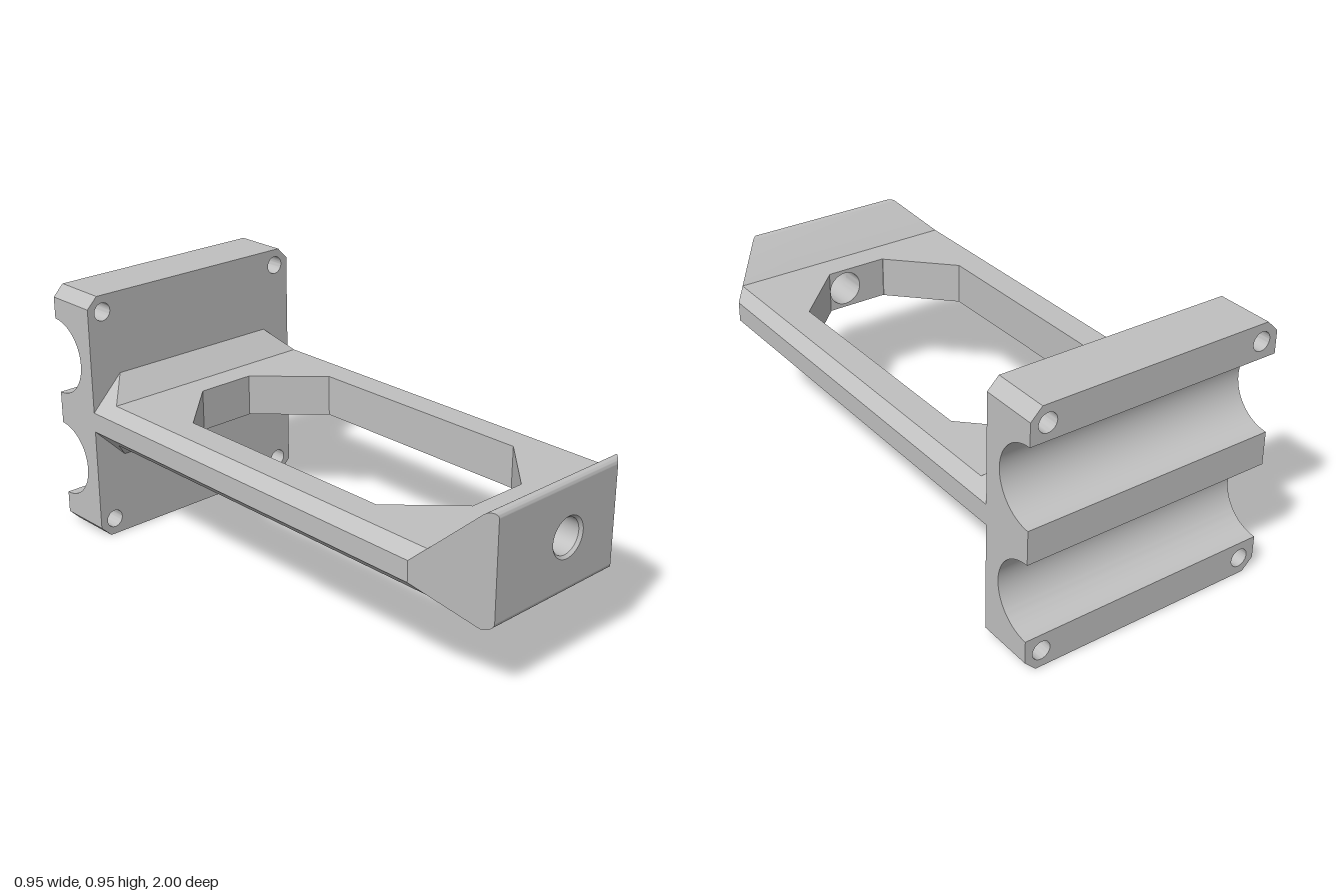
import * as THREE from 'three';
import { toCreasedNormals } from 'three/addons/utils/BufferGeometryUtils.js';
import { ConvexGeometry } from 'three/addons/geometries/ConvexGeometry.js';

const MID = 0.477;      // mid height, also the half width
const BACK = -0.79;     // front face of the mounting plate
const ARM_H = 0.0785;   // half thickness of the arm
const ARM_W = 0.436;    // half width of the arm's flat top
const NECK = 0.851;     // where the arm meets the flared head
const BORE_X = 0.052, BORE_R = 0.065;

const polygon = (pts) => new THREE.Shape(pts.map(([x, y]) => new THREE.Vector2(x, y)));

function circleHole(shape, x, y, r) {
  const hole = new THREE.Path();
  hole.absarc(x, y, r, 0, Math.PI * 2, true);
  shape.holes.push(hole);
}

function extrude(shape, depth) {
  const geo = new THREE.ExtrudeGeometry(shape, { depth, bevelEnabled: false, curveSegments: 24 });
  return toCreasedNormals(geo, 0.5);
}

const convex = (pts) => new ConvexGeometry(pts.map((p) => new THREE.Vector3(...p)));

// Flared head: rectangular sections that grow in height and shrink in width
function headGeometry() {
  const sections = [[NECK, ARM_H]];
  for (let i = 0; i <= 10; i++) {
    const a = (Math.PI * 0.75) * (1 - i / 10);
    sections.push([0.98 + 0.02 * Math.cos(a), 0.179 + 0.02 * Math.sin(a)]);
  }
  const rings = sections.map(([z, h]) => {
    const w = 1.287 - z;
    return [[w, h, z], [-w, h, z], [-w, -h, z], [w, -h, z]];
  });
  const pos = [];
  for (let i = 0; i < rings.length - 1; i++) {
    for (let k = 0; k < 4; k++) {
      const n = (k + 1) % 4;
      const a = rings[i][k], b = rings[i][n], c = rings[i + 1][n], d = rings[i + 1][k];
      pos.push(...a, ...b, ...c, ...a, ...c, ...d);
    }
  }
  const geo = new THREE.BufferGeometry();
  geo.setAttribute('position', new THREE.Float32BufferAttribute(pos, 3));
  return toCreasedNormals(geo, 0.5);
}

export function createModel() {
  const model = new THREE.Group();
  model.name = 'bracket';
  const grey = new THREE.MeshStandardMaterial({ color: 0xc0c0c0, side: THREE.DoubleSide });
  grey.name = 'grey';

  const add = (parent, name, geo) => {
    const mesh = new THREE.Mesh(geo, grey);
    mesh.name = name;
    parent.add(mesh);
    return mesh;
  };

  // Mounting plate: grooved middle, with a drilled strip above and below
  const plate = new THREE.Group();
  plate.name = 'mountingPlate';
  plate.position.y = MID;
  model.add(plate);

  const grooved = new THREE.Shape();
  grooved.moveTo(BACK, -0.352);
  grooved.lineTo(BACK, 0.352);
  for (const y of [0.207, -0.207]) grooved.absarc(-1, y, 0.145, Math.PI / 2, -Math.PI / 2, true);
  add(plate, 'groovedMiddle', extrude(grooved, MID * 2).rotateY(-Math.PI / 2).translate(MID, 0, 0));

  const c = 0.042;
  const strip = polygon([[-MID, 0.352], [MID, 0.352], [MID, MID - c], [MID - c, MID], [c - MID, MID], [-MID, MID - c]]);
  for (const s of [-1, 1]) circleHole(strip, s * 0.414, 0.414, 0.034);
  const stripGeo = extrude(strip, BACK + 1).translate(0, 0, -1);
  add(plate, 'topStrip', stripGeo);
  add(plate, 'bottomStrip', stripGeo).rotation.z = Math.PI;

  // Arm
  const arm = new THREE.Group();
  arm.name = 'arm';
  arm.position.y = MID;
  model.add(arm);

  // Frame around the window, open at the front for the bored block
  const half = [[ARM_W, BACK], [ARM_W, NECK], [0.12, NECK], [0.12, 0.745], [0.332, 0.53], [0.332, -0.39], [0.113, -0.605]];
  const frame = polygon([...half, ...half.map(([x, z]) => [-x, z]).reverse()]);
  add(arm, 'windowFrame', extrude(frame, ARM_H * 2).rotateX(Math.PI / 2).translate(0, ARM_H, 0));

  const block = polygon([[-0.12, -ARM_H], [0.12, -ARM_H], [0.12, ARM_H], [-0.12, ARM_H]]);
  circleHole(block, BORE_X, 0, BORE_R);
  add(arm, 'boredBlock', extrude(block, NECK - 0.748).translate(0, 0, 0.748));

  // Chamfered side rails, cut off at 45 degrees in front
  for (const s of [1, -1]) {
    const pts = [];
    for (const t of [1, -1]) {
      pts.push([s * ARM_W, t * ARM_H, BACK], [s * MID, t * 0.0375, BACK],
        [s * MID, t * 0.0375, 0.81], [s * ARM_W, t * ARM_H, NECK]);
    }
    add(arm, s > 0 ? 'leftRail' : 'rightRail', convex(pts));
  }

  // Gussets between arm and plate, above and below
  for (const t of [1, -1]) {
    const pts = [];
    for (const s of [1, -1]) {
      pts.push([s * ARM_W, t * ARM_H, BACK], [s * ARM_W, t * ARM_H, -0.705], [s * 0.351, t * 0.1635, BACK]);
    }
    add(arm, t > 0 ? 'topGusset' : 'bottomGusset', convex(pts));
  }

  // Head with its front face and countersunk bore
  add(arm, 'head', headGeometry());
  const face = polygon([[-0.287, -0.179], [0.287, -0.179], [0.287, 0.179], [-0.287, 0.179]]);
  circleHole(face, BORE_X, 0, 0.075);
  add(arm, 'headFace', new THREE.ShapeGeometry(face, 24).translate(0, 0, 1));

  const lathe = (pts) => new THREE.LatheGeometry(pts.map(([r, z]) => new THREE.Vector2(r, z)), 48)
    .rotateX(Math.PI / 2).translate(BORE_X, 0, 0);
  add(arm, 'countersink', lathe([[0.075, 1], [BORE_R, 0.99]]));
  add(arm, 'bore', lathe([[BORE_R, 0.99], [BORE_R, NECK]]));

  return model;
}
